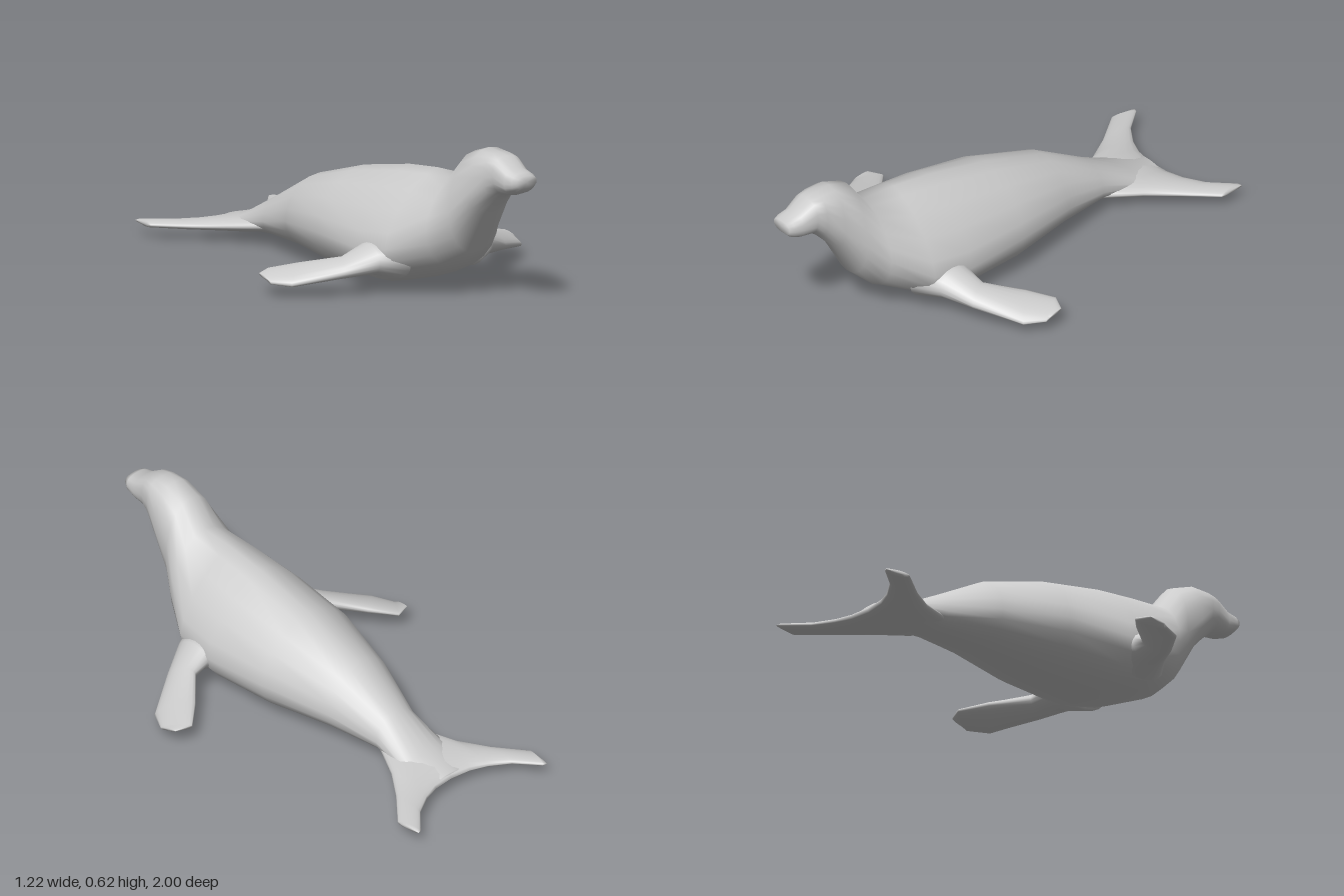
import * as THREE from 'three';

const SIDES = 20;
const material = new THREE.MeshStandardMaterial({ color: 0xcccccc });

// Smooth closed skin over a row of rings, each an array of SIDES points
function loft(name, rings) {
  const pos = [], index = [];
  rings.forEach(r => r.forEach(p => pos.push(p.x, p.y, p.z)));
  const cap = ring => {
    const c = ring.reduce((s, p) => s.add(p), new THREE.Vector3()).divideScalar(SIDES);
    pos.push(c.x, c.y, c.z);
    return pos.length / 3 - 1;
  };
  const start = cap(rings[0]), end = cap(rings[rings.length - 1]);
  const last = (rings.length - 1) * SIDES;
  for (let i = 0; i < SIDES; i++) {
    const j = (i + 1) % SIDES;
    for (let k = 0; k < last; k += SIDES) {
      const a = k + i, b = k + j;
      index.push(a, a + SIDES, b, b, a + SIDES, b + SIDES);
    }
    index.push(start, i, j, end, last + j, last + i);
  }
  const geo = new THREE.BufferGeometry();
  geo.setAttribute('position', new THREE.Float32BufferAttribute(pos, 3));
  geo.setIndex(index);
  geo.computeVertexNormals();
  const mesh = new THREE.Mesh(geo, material);
  mesh.name = name;
  return mesh;
}

const power = (v, e) => Math.sign(v) * Math.abs(v) ** e;

// Body ring: upper and lower halves have their own fullness exponents
function bodyRing([z, bottom, top, half, widest, upper, lower]) {
  return Array.from({ length: SIDES }, (_, i) => {
    const a = i / SIDES * Math.PI * 2, s = Math.sin(a);
    const e = s >= 0 ? upper : lower;
    const h = s >= 0 ? top - widest : widest - bottom;
    return new THREE.Vector3(half * power(Math.cos(a), e), widest + h * power(s, e), z);
  });
}

// Fin ring: a flat ellipse between a leading and a trailing point
function finRing([lead, trail, thick]) {
  const l = new THREE.Vector3(...lead), t = new THREE.Vector3(...trail);
  return Array.from({ length: SIDES }, (_, i) => {
    const a = i / SIDES * Math.PI * 2;
    const p = t.clone().lerp(l, 0.5 + Math.cos(a) / 2);
    p.y += Math.sin(a) * thick;
    return p;
  });
}

const mirror = ([l, t, h]) => [[-l[0], l[1], l[2]], [-t[0], t[1], t[2]], h];

export function createModel() {
  const group = new THREE.Group();
  group.name = 'seal';

  // Head, neck and trunk: z, bottom, top, half width, widest height, fullness
  const body = [
    [1.00, 0.495, 0.545, 0.05, 0.52, 0.8, 0.9],
    [0.98, 0.475, 0.555, 0.06, 0.515, 0.8, 0.9],
    [0.94, 0.46, 0.567, 0.064, 0.51, 0.8, 0.9],
    [0.88, 0.452, 0.605, 0.075, 0.53, 0.75, 0.9],
    [0.84, 0.42, 0.612, 0.086, 0.52, 0.75, 0.9],
    [0.77, 0.345, 0.62, 0.108, 0.45, 0.85, 1],
    [0.68, 0.185, 0.59, 0.13, 0.36, 0.95, 1],
    [0.60, 0.11, 0.485, 0.18, 0.28, 1.1, 0.95],
    [0.45, 0.05, 0.482, 0.262, 0.19, 1.3, 0.9],
    [0.28, 0.005, 0.465, 0.272, 0.17, 1.25, 0.95],
    [0.00, 0.01, 0.412, 0.245, 0.18, 1.15, 0.95],
    [-0.28, 0.04, 0.33, 0.17, 0.16, 1.05, 0.95],
    [-0.50, 0.045, 0.21, 0.105, 0.11, 1, 0.95],
    [-0.68, 0.048, 0.112, 0.12, 0.07, 1, 1],
    [-0.81, 0.05, 0.08, 0.07, 0.062, 1, 1],
  ];
  group.add(loft('body', body.map(bodyRing)));

  // Front flippers, swept back and down, trailing edge raised
  const flipper = [
    [[0.18, 0.13, 0.51], [0.18, 0.15, 0.24], 0.08],
    [[0.28, 0.135, 0.445], [0.27, 0.15, 0.285], 0.058],
    [[0.40, 0.10, 0.375], [0.34, 0.13, 0.275], 0.034],
    [[0.57, 0.06, 0.26], [0.45, 0.11, 0.155], 0.025],
    [[0.61, 0.06, 0.18], [0.54, 0.09, 0.075], 0.016],
    [[0.612, 0.07, 0.165], [0.605, 0.085, 0.10], 0.006],
  ];
  group.add(loft('leftFlipper', flipper.map(finRing)));
  group.add(loft('rightFlipper', flipper.map(mirror).reverse().map(finRing)));

  // Tail fluke, one fin spanning both sides
  const halfFluke = [
    [[0.09, 0.085, -0.50], [0.09, 0.06, -0.83], 0.03],
    [[0.16, 0.068, -0.65], [0.16, 0.06, -0.855], 0.022],
    [[0.24, 0.06, -0.765], [0.24, 0.06, -0.905], 0.017],
    [[0.345, 0.058, -0.89], [0.32, 0.06, -0.995], 0.013],
    [[0.345, 0.058, -0.91], [0.335, 0.06, -1.0], 0.006],
  ];
  const middle = [[0, 0.09, -0.47], [0, 0.06, -0.82], 0.035];
  const fluke = [...halfFluke.map(mirror).reverse(), middle, ...halfFluke];
  group.add(loft('tailFluke', fluke.map(finRing)));

  return group;
}
